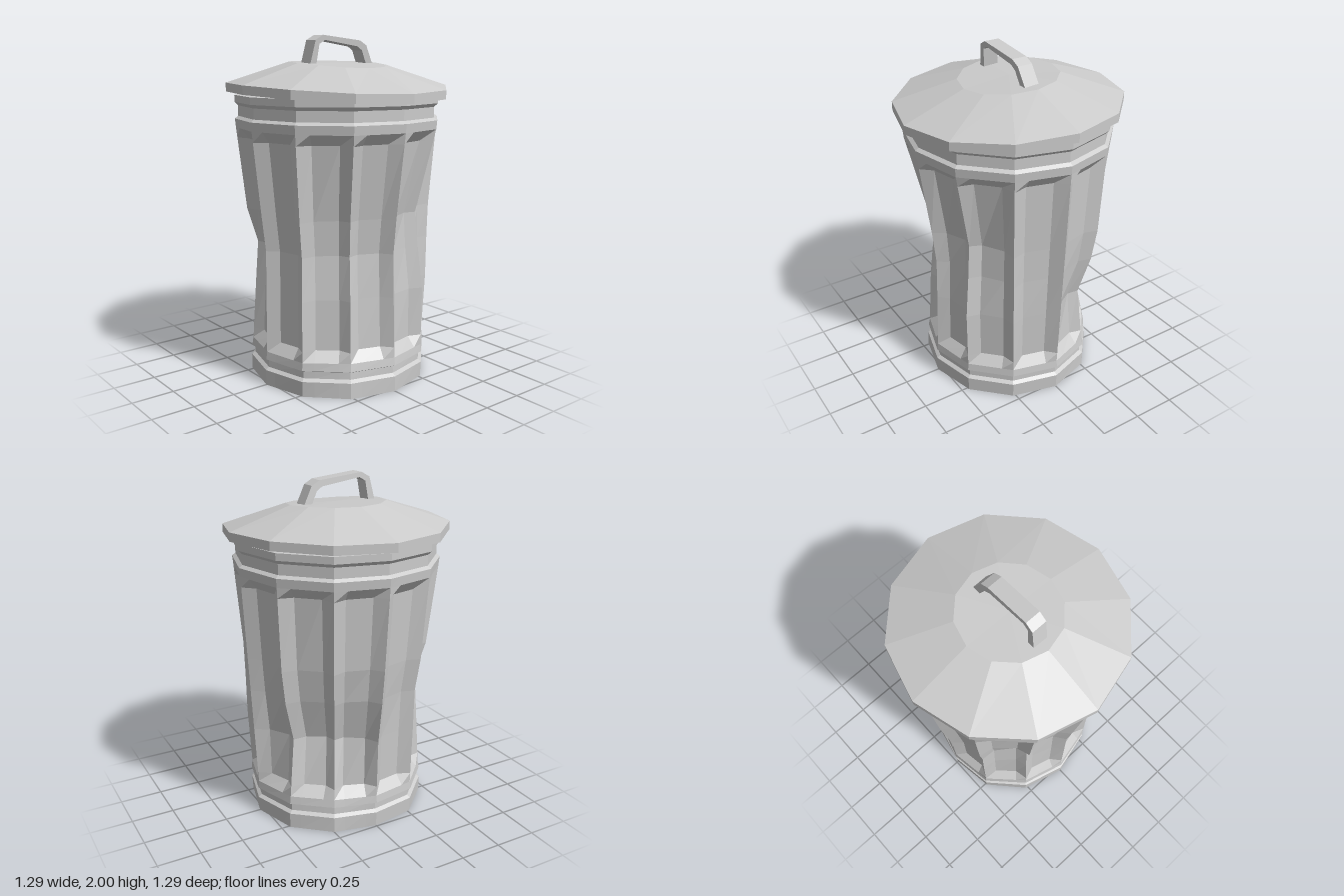
import * as THREE from 'three';

const SIDES = 12;
const material = new THREE.MeshStandardMaterial({ color: 0xcccccc, flatShading: true });

// Inward dents of the 12 ridges (front first, then towards +x) at several heights
const DENTS = [
  [0.00, [0, 0, 0, 0, 0.01, 0.03, 0.04, 0.01, 0, 0, 0, 0]],
  [0.20, [0.01, 0, 0, 0, 0.02, 0.05, 0.04, 0.01, 0.01, 0.01, 0, 0.02]],
  [0.55, [0.04, 0.015, 0, 0, 0.08, 0.14, 0.05, 0.02, 0.05, 0.03, 0.02, 0.06]],
  [0.80, [0.06, 0.06, 0.01, 0, 0.02, 0.07, 0.03, 0.03, 0.08, 0.045, 0.035, 0.10]],
  [1.00, [0.05, 0.09, 0.015, 0, 0, 0.03, 0.02, 0.01, 0.03, 0.03, 0.02, 0.09]],
  [1.48, [0.01, 0, 0, 0, 0, 0, 0.01, 0, 0, 0, 0, 0]],
];

function dentAt(y, i) {
  const last = DENTS.length - 1;
  if (y >= DENTS[last][0]) return DENTS[last][1][i];
  const k = DENTS.findIndex(d => d[0] > y) - 1;
  const [y0, a] = DENTS[k], [y1, b] = DENTS[k + 1];
  return THREE.MathUtils.lerp(a[i], b[i], (y - y0) / (y1 - y0));
}

const polar = (r, y, i) => {
  const a = i / SIDES * Math.PI * 2;
  return new THREE.Vector3(Math.sin(a) * r, y, Math.cos(a) * r);
};

// Skins closed rings from bottom to top, leaving out collapsed triangles
function skin(rings) {
  const n = rings[0].length, positions = [];
  const tri = (a, b, c) => {
    if (a.distanceTo(b) < 1e-6 || b.distanceTo(c) < 1e-6 || c.distanceTo(a) < 1e-6) return;
    for (const p of [a, b, c]) positions.push(p.x, p.y, p.z);
  };
  for (let k = 0; k + 1 < rings.length; k++) {
    for (let i = 0; i < n; i++) {
      const j = (i + 1) % n, lo = rings[k], hi = rings[k + 1];
      tri(lo[i], lo[j], hi[j]);
      tri(lo[i], hi[j], hi[i]);
    }
  }
  const g = new THREE.BufferGeometry();
  g.setAttribute('position', new THREE.Float32BufferAttribute(positions, 3));
  g.computeVertexNormals();
  return g;
}

// One can ring: a ridge at each corner and two panel corners, set in by `inset`
function canRing(r, y, inset = 0) {
  const corner = i => polar(r === 0 ? 0 : r - dentAt(y, i % SIDES), y, i);
  const ring = [];
  for (let i = 0; i < SIDES; i++) {
    const a = corner(i), b = corner(i + 1), inward = polar(inset, 0, i + 0.5);
    ring.push(a, a.clone().lerp(b, 0.25).sub(inward), a.clone().lerp(b, 0.75).sub(inward));
  }
  return ring;
}

// One lid ring, sagging towards the front
function lidRing(r, y, sag) {
  return Array.from({ length: SIDES }, (_, i) => {
    const p = polar(r, y, i);
    p.y -= sag * (0.03 * p.z + 0.05 * p.z * p.z);
    return p;
  });
}

export function createModel() {
  const group = new THREE.Group();
  const add = (name, geometry) => {
    const mesh = new THREE.Mesh(geometry, material);
    mesh.name = name;
    group.add(mesh);
  };

  // Base bands with a groove
  add('baseBands', skin([
    [0, 0], [0.53, 0], [0.535, 0.09], [0.515, 0.105], [0.515, 0.145], [0.535, 0.155], [0.53, 0.2],
  ].map(([r, y]) => canRing(r, y))));

  // Tapered, dented wall with recessed panels
  const wallRadius = y => THREE.MathUtils.mapLinear(y, 0.2, 1.48, 0.53, 0.595);
  add('flutedWall', skin([0.2, 0.26, 0.55, 0.8, 1.0, 1.42, 1.48].map((y, k, all) =>
    canRing(wallRadius(y), y, k === 0 || k === all.length - 1 ? 0 : 0.045))));

  // Neck bands under the lid
  add('neckBands', skin([
    [0.595, 1.48], [0.6, 1.53], [0.58, 1.545], [0.58, 1.605], [0.6, 1.625], [0.6, 1.665], [0, 1.665],
  ].map(([r, y]) => canRing(r, y))));

  // Lid with a vertical rim and a flattened top
  add('lid', skin([
    [0, 1.7, 1], [0.605, 1.7, 1], [0.615, 1.68, 1], [0.647, 1.68, 1],
    [0.647, 1.73, 1], [0.285, 1.845, 2.2], [0, 1.845, 2.2],
  ].map(([r, y, sag]) => lidRing(r, y, sag))));

  // Bent strap handle, leaning forward
  const outline = [
    [-0.235, 1.81], [-0.19, 1.81], [-0.172, 1.95], [-0.135, 1.972], [0.105, 1.938], [0.14, 1.915],
    [0.19, 1.81], [0.24, 1.81], [0.17, 1.945], [0.12, 1.972], [-0.15, 2.0], [-0.2, 1.972],
  ];
  const handle = new THREE.ExtrudeGeometry(
    new THREE.Shape(outline.map(([x, y]) => new THREE.Vector2(x, y))),
    { depth: 0.09, bevelEnabled: false });
  const pos = handle.attributes.position;
  for (let i = 0; i < pos.count; i++) {
    pos.setZ(i, pos.getZ(i) - 0.047 + 0.1 * (pos.getY(i) - 1.84));
  }
  handle.computeVertexNormals();
  add('handle', handle);

  return group;
}
